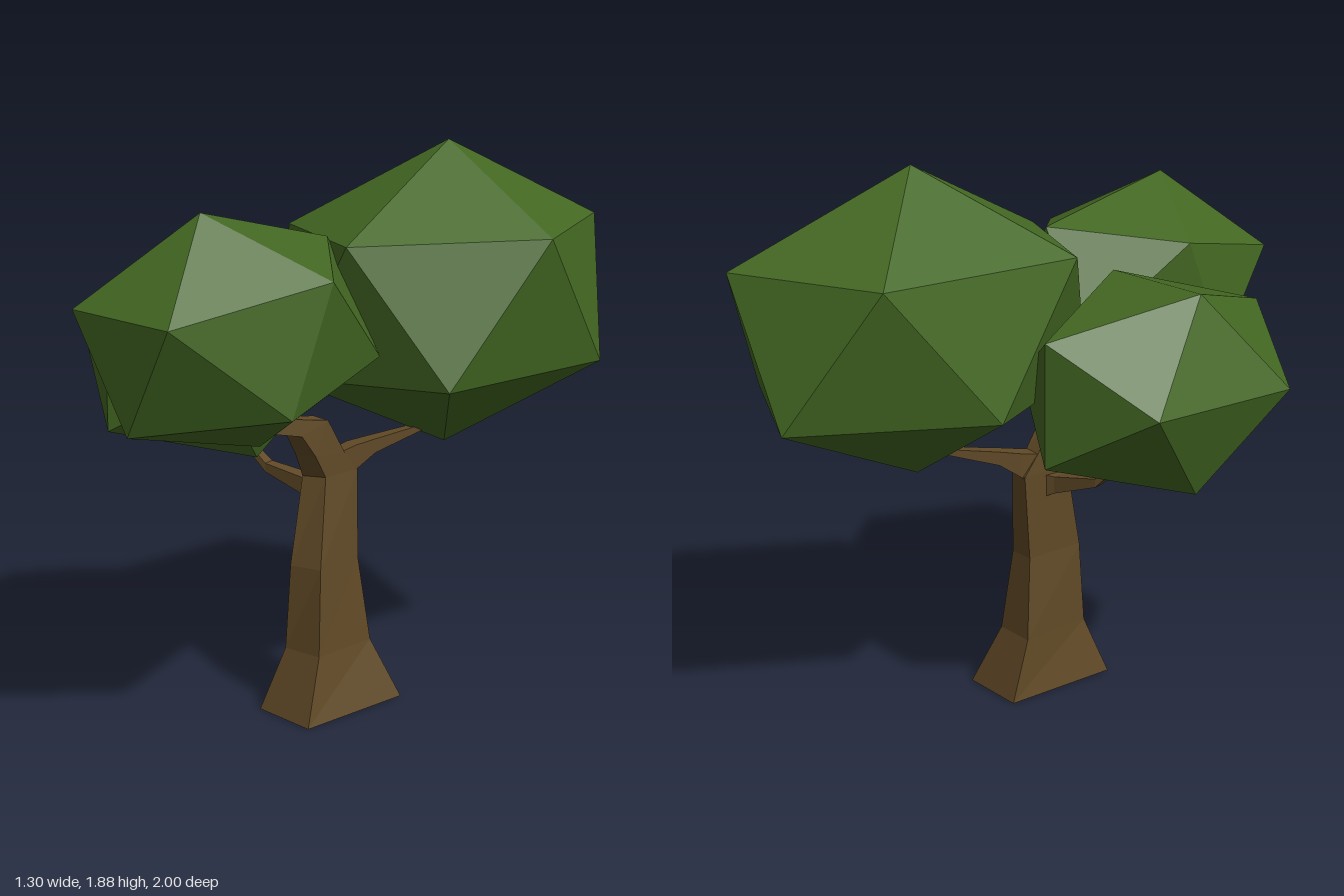
import * as THREE from 'three';
import { ConvexGeometry } from 'three/addons/geometries/ConvexGeometry.js';

const V = (x, y, z) => new THREE.Vector3(x, y, z);

// Faceted skin over a list of four-cornered rings, closed at both ends.
function loft(rings) {
  const pts = [];
  const quad = (a, b, c, d) => pts.push(a, b, c, a, c, d);
  for (let r = 0; r < rings.length - 1; r++) {
    for (let i = 0; i < 4; i++) {
      const j = (i + 1) % 4;
      quad(rings[r][i], rings[r][j], rings[r + 1][j], rings[r + 1][i]);
    }
  }
  const first = rings[0], last = rings[rings.length - 1];
  quad(first[3], first[2], first[1], first[0]);
  quad(last[0], last[1], last[2], last[3]);
  const geometry = new THREE.BufferGeometry().setFromPoints(pts);
  geometry.computeVertexNormals();
  return geometry;
}

// Upright rectangular rings along a branch; each section is [x, yLow, yHigh, z, halfWidth].
function branch(dir, sections) {
  const side = V(0, 1, 0).cross(dir.clone().normalize());
  return loft(sections.map(([x, low, high, z, w]) =>
    [[-w, low], [w, low], [w, high], [-w, high]].map(([s, y]) => V(x, y, z).addScaledVector(side, s))));
}

export function createModel() {
  const tree = new THREE.Group();
  tree.name = 'tree';
  const bark = new THREE.MeshStandardMaterial({ color: 0x604926 });
  bark.name = 'bark brown';
  const leaves = new THREE.MeshStandardMaterial({ color: 0x436722 });
  leaves.name = 'leaf green';
  const add = (name, geometry, material) => {
    const mesh = new THREE.Mesh(geometry, material);
    mesh.name = name;
    tree.add(mesh);
    return mesh;
  };

  // Trunk bending into the front limb: corners front left, front right, back right, back left
  add('trunk', loft([
    [V(0, 0, 0.28), V(0.24, 0, 0.28), V(0.24, 0, -0.15), V(0, 0, -0.15)],
    [V(0.04, 0.21, 0.2), V(0.185, 0.21, 0.18), V(0.17, 0.21, -0.07), V(0.02, 0.21, -0.07)],
    [V(0.05, 0.5, 0.185), V(0.16, 0.5, 0.15), V(0.14, 0.5, -0.04), V(0.045, 0.5, -0.04)],
    [V(0.05, 0.8, 0.13), V(0.12, 0.8, 0.09), V(0.115, 0.8, -0.06), V(0.045, 0.8, -0.06)],
    [V(0.055, 0.88, 0.165), V(0.12, 0.88, 0.135), V(0.115, 0.87, 0), V(0.05, 0.87, 0)],
    [V(0.06, 0.955, 0.21), V(0.115, 0.955, 0.19), V(0.11, 0.99, 0.07), V(0.06, 1.0, 0.09)],
    [V(0.07, 1.0, 0.38), V(0.11, 1.0, 0.38), V(0.105, 1.035, 0.32), V(0.07, 1.035, 0.32)],
    [V(0.09, 1.04, 0.5), V(0.12, 1.04, 0.5), V(0.12, 1.06, 0.48), V(0.09, 1.06, 0.48)],
  ]), bark);

  add('backBranch', branch(V(0.25, 0, -1), [
    [0.08, 0.74, 0.87, 0.01, 0.03],
    [0.085, 0.8, 0.885, -0.06, 0.032],
    [0.11, 0.85, 0.898, -0.13, 0.027],
    [0.165, 0.905, 0.925, -0.3, 0.016],
    [0.18, 0.925, 0.94, -0.38, 0.01],
  ]), bark);

  add('sideBranch', branch(V(-1, 0, 0.25), [
    [0.08, 0.7, 0.79, 0.06, 0.04],
    [0.03, 0.725, 0.785, 0.08, 0.032],
    [-0.13, 0.78, 0.81, 0.12, 0.022],
    [-0.19, 0.85, 0.875, 0.15, 0.016],
    [-0.23, 0.95, 0.965, 0.17, 0.01],
  ]), bark);

  // Large back crown: two staggered five-sided rings between two poles
  const crown = [V(0.19, 1.885, -0.4), V(0.19, 0.855, -0.4)];
  for (let i = 0; i < 10; i++) {
    const a = i * Math.PI / 5;
    crown.push(V(0.185 + 0.465 * Math.cos(a), i % 2 ? 1.14 : 1.6, -0.4 + 0.63 * Math.sin(a)));
  }
  add('backFoliage', new ConvexGeometry(crown), leaves);

  // Side crown: a stretched icosahedron resting on an edge
  const unit = Math.sqrt(1 + ((1 + Math.sqrt(5)) / 2) ** 2);
  const sideGeometry = new THREE.IcosahedronGeometry(unit, 0);
  sideGeometry.scale(0.21, 0.206, 0.282);
  sideGeometry.translate(-0.315, 1.178, 0.195);
  sideGeometry.computeVertexNormals();
  add('sideFoliage', sideGeometry, leaves);

  // Front crown: tilted icosahedron, half its corners mirrored through the centre
  const centre = V(0.19, 1.357, 0.55);
  const half = [
    V(0.21, 1.74, 0.68), V(0, 1.463, 1.0), V(0.415, 1.452, 0.97),
    V(0.2, 1.1, 0.96), V(0.53, 1.545, 0.44), V(0.525, 1.15, 0.6),
  ];
  const opposite = half.map((p) => centre.clone().multiplyScalar(2).sub(p));
  add('frontFoliage', new ConvexGeometry([...half, ...opposite]), leaves);

  return tree;
}
